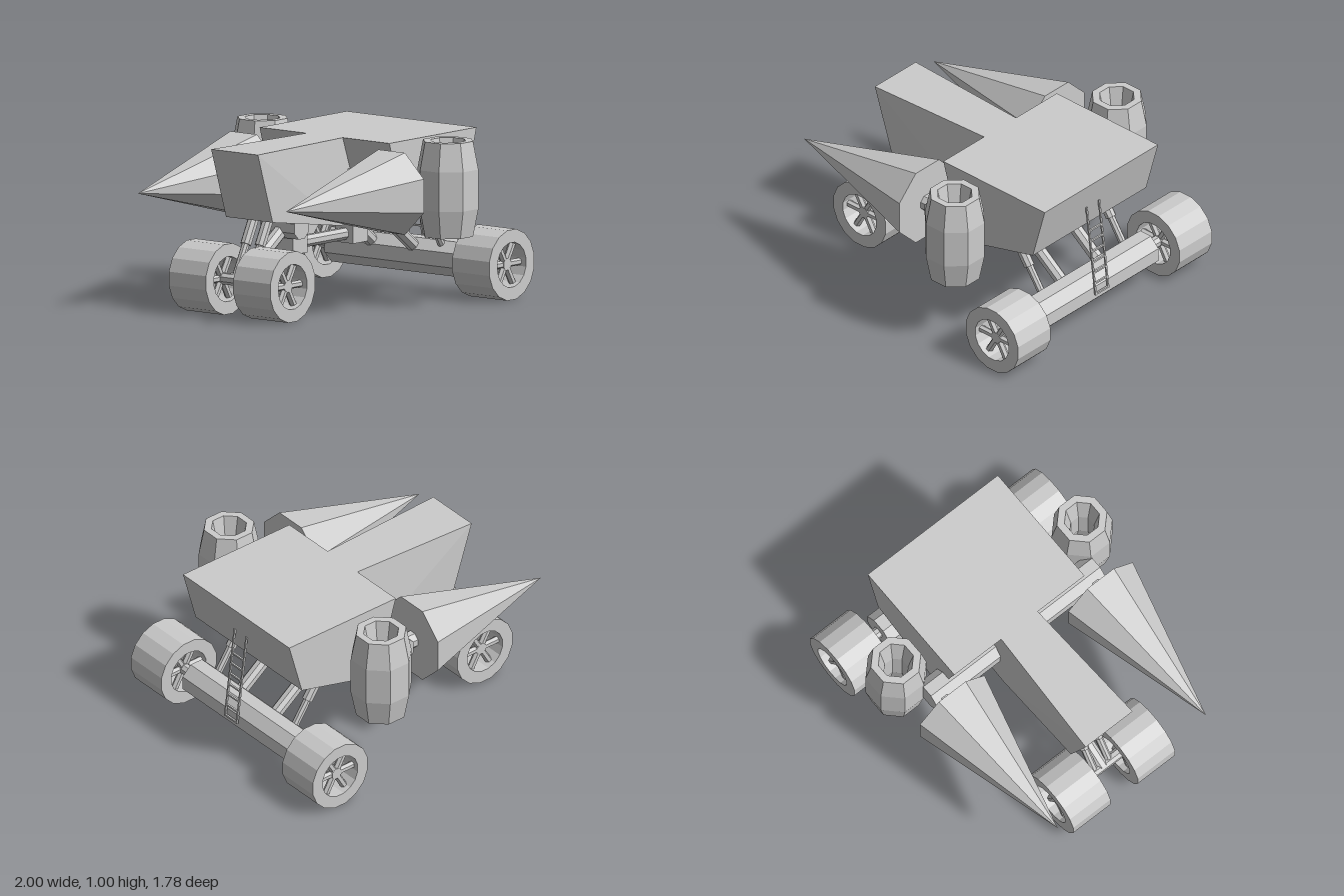
import * as THREE from 'three';

const grey = new THREE.MeshStandardMaterial({ color: 0xcccccc, flatShading: true });
grey.name = 'light grey';

export function createModel() {
  const model = new THREE.Group();
  model.name = 'sixPodRover';

  const add = (name, geo, parent = model) => {
    const m = new THREE.Mesh(geo, grey);
    m.name = name;
    parent.add(m);
    return m;
  };

  // Prism or cone from point a to point b, flats facing the main axes
  const bar = (name, a, b, r, sides = 8, rEnd = r, parent = model) => {
    const from = new THREE.Vector3(...a), to = new THREE.Vector3(...b);
    const dir = to.clone().sub(from);
    const geo = new THREE.CylinderGeometry(rEnd, r, dir.length(), sides);
    geo.rotateY(Math.PI / sides);
    const m = add(name, geo, parent);
    m.position.copy(from).add(to).multiplyScalar(0.5);
    m.quaternion.setFromUnitVectors(new THREE.Vector3(0, 1, 0), dir.normalize());
    return m;
  };

  const box = (name, w, h, d, x, y, z) => {
    const m = add(name, new THREE.BoxGeometry(w, h, d), model);
    m.position.set(x, y, z);
    return m;
  };

  // Side outline in x and y, extruded across z
  const slab = (pts, half) => {
    const shape = new THREE.Shape(pts.map(p => new THREE.Vector2(...p)));
    const geo = new THREE.ExtrudeGeometry(shape, { depth: half * 2, bevelEnabled: false });
    return geo.translate(0, 0, -half);
  };

  // Wide rear hull
  add('rearHull', slab([[0.065, 1], [0.21, 0.5], [0.79, 0.65], [0.887, 1]], 0.5));

  // Narrow nose, its roof tapering towards the rear
  const nose = slab([[-0.785, 1], [-0.645, 0.575], [0, 0.48], [0.3, 0.515], [0.3, 0.998], [0.07, 1]], 0.18);
  const pos = nose.attributes.position;
  for (let i = 0; i < pos.count; i++) {
    if (pos.getY(i) < 0.9) continue;
    const half = 0.18 - 0.047 * (pos.getX(i) + 0.785);
    pos.setZ(i, Math.sign(pos.getZ(i)) * half);
  }
  nose.computeVertexNormals();
  add('noseHull', nose);

  // Cross shaft carrying the side pods
  bar('crossShaft', [0.14, 0.72, -0.65], [0.14, 0.72, 0.65], 0.097);

  // Hollow barrel section, swept round the y axis
  const barrelProfile = [
    [0.144, -0.288], [0.175, -0.119], [0.175, 0.119], [0.144, 0.288],
    [0.101, 0.288], [0.07, 0.119], [0.07, -0.119], [0.101, -0.288], [0.144, -0.288],
  ].map(([r, y]) => new THREE.Vector2(r / Math.cos(Math.PI / 8), y));

  for (const s of [-1, 1]) {
    bar('spikeCone', [0, 0.72, s * 0.57], [-1, 0.72, s * 0.57], 0.268, 8, 0);
    bar('coneMount', [-0.01, 0.72, s * 0.58], [0.09, 0.72, s * 0.58], 0.054);
    const barrel = add('barrel', new THREE.LatheGeometry(barrelProfile, 8, Math.PI / 8));
    barrel.position.set(0.355, 0.718, s * 0.715);
  }

  // Wheels: hollow drum, hub and two sets of six spokes
  const drumProfile = [
    [0.137, -0.143], [0.216, -0.143], [0.216, 0.143], [0.137, 0.143], [0.137, -0.143],
  ].map(p => new THREE.Vector2(...p));
  const wheel = (name, x, z) => {
    const g = new THREE.Group();
    g.name = name;
    g.position.set(x, 0.215, z);
    model.add(g);
    add('tyre', new THREE.LatheGeometry(drumProfile, 16, Math.PI / 16), g).rotation.x = Math.PI / 2;
    bar('hub', [0, 0, -0.11], [0, 0, 0.11], 0.038, 8, 0.038, g);
    for (const side of [-0.09, 0.09]) {
      for (let i = 0; i < 6; i++) {
        const a = i * Math.PI / 3;
        bar('spoke', [0, 0, side], [0.15 * Math.cos(a), 0.15 * Math.sin(a), side], 0.022, 6, 0.022, g);
      }
    }
  };
  for (const s of [-1, 1]) {
    wheel('frontWheel', -0.715, s * 0.248);
    wheel('rearWheel', 0.785, s * 0.712);
  }

  // Axles
  bar('frontAxle', [-0.715, 0.215, -0.2], [-0.715, 0.215, 0.2], 0.036);
  bar('rearAxle', [0.785, 0.215, -0.65], [0.785, 0.215, 0.65], 0.036);
  bar('rearAxleBeam', [0.785, 0.215, -0.5], [0.785, 0.215, 0.5], 0.114);

  // Telescopic strut: thick sleeve above, thin rod below
  const strut = (name, top, foot, split) => {
    const mid = top.map((v, i) => v + (foot[i] - v) * split);
    bar(name + 'Sleeve', top, mid, 0.034);
    bar(name + 'Rod', mid, foot, 0.024);
  };
  for (const s of [-1, 1]) {
    strut('rearStrut', [0.5, 0.64, s * 0.36], [0.785, 0.215, s * 0.36], 0.47);
    strut('frontStrut', [-0.51, 0.62, s * 0.055], [-0.715, 0.215, s * 0.055], 0.5);
    bar('rearArm', [0.4, 0.51, s * 0.16], [0.785, 0.215, s * 0.16], 0.04);
  }
  bar('frontArm', [-0.31, 0.5, 0], [-0.715, 0.215, 0], 0.042);

  // Hinges under the hull
  bar('rearHinge', [0.4, 0.51, -0.21], [0.4, 0.51, 0.21], 0.052);
  bar('rearHingeSleeve', [0.4, 0.5, -0.13], [0.4, 0.5, 0.13], 0.066);
  bar('frontHinge', [-0.31, 0.5, -0.13], [-0.31, 0.5, 0.13], 0.075);

  // Belly brackets joined by a long rod
  box('frontBracket', 0.14, 0.2, 0.14, -0.25, 0.43, 0);
  box('rearBracket', 0.14, 0.22, 0.14, 0.32, 0.44, 0);
  bar('bellyRod', [-0.2, 0.385, 0], [0.27, 0.385, 0], 0.038);

  // Rear ladder
  const ladderX = y => 0.835 + (0.81 - y) * 0.126;
  for (const z of [-0.035, 0.075]) {
    bar('ladderRail', [ladderX(0.81), 0.81, z], [ladderX(0.215), 0.215, z], 0.008, 4);
  }
  for (let i = 0; i < 7; i++) {
    const y = 0.222 + i * 0.071;
    bar('ladderRung', [ladderX(y), y, -0.035], [ladderX(y), y, 0.075], 0.008, 4);
  }

  return model;
}
